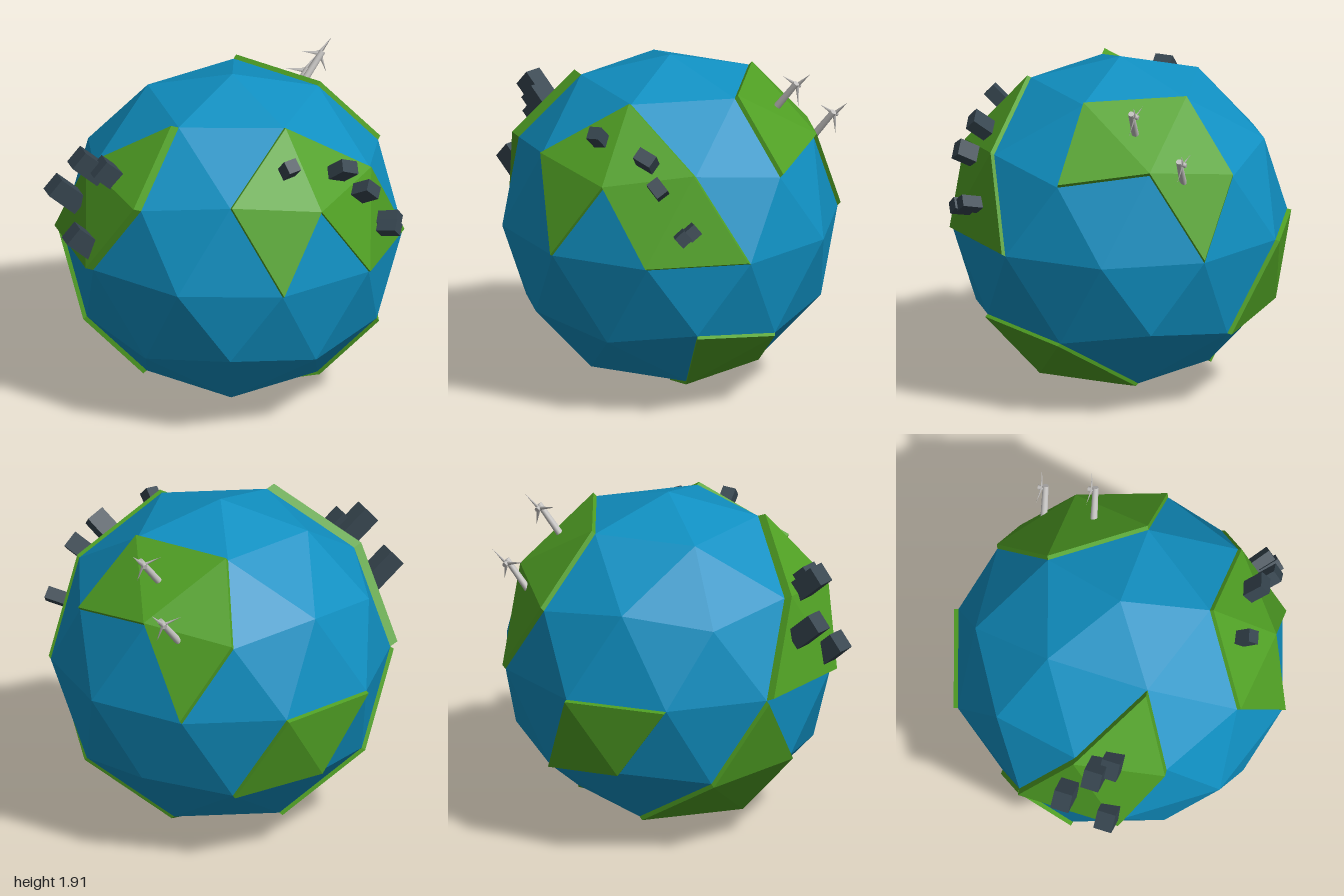
import * as THREE from 'three';
import { ConvexGeometry } from 'three/addons/geometries/ConvexGeometry.js';

const CENTRE = new THREE.Vector3(0.085, 0.97, 0);
const R = 0.95;

// Rings of the once-subdivided icosahedron: [height, radius] on a unit sphere
const RINGS = {
  T: [0.8507, 0.5257], U: [0.4472, 0.8944], M: [0.5257, 0.8507], E: [0, 1],
  N: [-0.5257, 0.8507], L: [-0.4472, 0.8944], B: [-0.8507, 0.5257],
  P: [1, 0], S: [-1, 0],
};

// Globe corner from a code such as 'U72': ring letter plus angle in degrees
function corner(code) {
  const [h, r] = RINGS[code[0]];
  const a = THREE.MathUtils.degToRad(Number(code.slice(1)));
  return new THREE.Vector3(r * Math.cos(a), h, r * Math.sin(a)).multiplyScalar(R).add(CENTRE);
}

// Raised slab over some globe triangles: shifted top faces plus rim walls
function landGeometry(triangles, shift) {
  const pos = [];
  const push = (...pts) => pts.forEach((p) => pos.push(p.x, p.y, p.z));
  const offset = new THREE.Vector3(...shift);
  const top = (c) => corner(c).add(offset);
  const edges = new Map();
  for (const tri of triangles) {
    let [a, b, c] = tri.split(' ');
    const n = corner(b).sub(corner(a)).cross(corner(c).sub(corner(a)));
    if (n.dot(corner(a).sub(CENTRE)) < 0) [b, c] = [c, b];
    push(top(a), top(b), top(c));
    for (const [p, q] of [[a, b], [b, c], [c, a]]) {
      if (edges.has(`${q} ${p}`)) edges.delete(`${q} ${p}`);
      else edges.set(`${p} ${q}`, [p, q]);
    }
  }
  for (const [p, q] of edges.values()) {
    push(corner(p), corner(q), top(q), corner(p), top(q), top(p));
  }
  const g = new THREE.BufferGeometry();
  g.setAttribute('position', new THREE.Float32BufferAttribute(pos, 3));
  g.computeVertexNormals();
  return g;
}

export function createModel() {
  const model = new THREE.Group();
  model.name = 'planet';
  const material = (name, color, flatShading = true) => {
    const m = new THREE.MeshStandardMaterial({ color, flatShading });
    m.name = name;
    return m;
  };
  const ocean = material('oceanBlue', 0x1090c2);
  const grass = material('grassGreen', 0x50a024);
  const slate = material('slateGrey', 0x36454f);
  const pale = material('paleGrey', 0xc4c2c0, false);

  const add = (parent, name, geometry, mat) => {
    const mesh = new THREE.Mesh(geometry, mat);
    mesh.name = name;
    parent.add(mesh);
    return mesh;
  };

  // Ocean globe
  const codes = ['P0', 'S0'];
  for (let i = 0; i < 5; i++) {
    const a = i * 72;
    codes.push(`T${a}`, `U${a}`, `M${a + 36}`, `N${a}`, `L${a + 36}`, `B${a + 36}`, `E${a + 18}`, `E${a + 54}`);
  }
  add(model, 'ocean', new ConvexGeometry(codes.map(corner)), ocean);

  // Land masses
  const lands = {
    frontLand: [['T72 M108 U72', 'M108 U72 E90', 'T72 U72 M36', 'U72 M36 E54', 'M36 E54 E18'], [0.003, 0.01, 0.021]],
    turbineLand: [['T0 U0 M324', 'T0 T288 M324', 'T288 M324 U288', 'M324 U288 E306'], [0.016, 0.02, -0.009]],
    towerLand: [['T144 U144 M180', 'U144 M180 E162', 'M180 E162 E198'], [-0.046, 0.02, 0.006]],
    backLand: [['E234 E270 L252', 'E270 L252 N288'], [-0.004, -0.006, -0.024]],
    lowerRightLand: [['E198 L180 N216', 'L180 N216 B180', 'N216 B180 B252'], [-0.02, -0.017, -0.003]],
    lowerLeftLand: [['L36 N0 B36', 'N0 B36 B324', 'B36 B324 S0'], [0.01, -0.014, 0.011]],
  };
  for (const [name, [tris, shift]] of Object.entries(lands)) {
    add(model, name, landGeometry(tris, shift), grass);
  }

  // Tall blocks leaning off the side land: outer end (x, y, z) and length
  const lean = new THREE.Vector3(-0.75, 0.66, 0);
  for (const [x, y, z, len] of [
    [-0.87, 1.604, 0.145, 0.19], [-0.767, 1.565, 0.215, 0.13],
    [-0.963, 1.385, 0, 0.2], [-0.933, 1.19, 0.243, 0.18],
  ]) {
    const block = add(model, 'tallBlock', new THREE.BoxGeometry(0.115, len, 0.105), slate);
    block.rotation.z = Math.atan2(0.75, 0.66);
    block.position.set(x, y, z).addScaledVector(lean, -len / 2);
  }

  // Small houses standing upright on the front land
  const up = new THREE.Vector3(0, 1, 0);
  for (const [x, y, z, w, h, d, turn] of [
    [0.2, 1.63, 0.7, 0.075, 0.12, 0.075, 0.3],
    [0.527, 1.56, 0.655, 0.11, 0.13, 0.075, 0.1],
    [0.65, 1.43, 0.69, 0.1, 0.12, 0.075, -0.2],
    [0.815, 1.19, 0.59, 0.07, 0.13, 0.075, 0],
    [0.8, 1.165, 0.645, 0.07, 0.12, 0.07, 0],
  ]) {
    const house = add(model, 'house', new THREE.BoxGeometry(w, h, d), slate);
    house.position.set(x, y, z);
    house.quaternion.setFromUnitVectors(up, house.position.clone().sub(CENTRE).normalize());
    house.rotateY(turn);
  }

  // Wind turbines: leaning tower, hub and three blades facing the back
  const stem = new THREE.Vector3(0.12, 0.155, -0.03);
  const facing = new THREE.Vector3(-0.08, -0.24, -1).normalize();
  for (const base of [[0.6, 1.655, -0.325], [0.605, 1.415, -0.62]]) {
    const turbine = new THREE.Group();
    turbine.name = 'windTurbine';
    turbine.position.set(...base);
    const tower = add(turbine, 'tower', new THREE.CylinderGeometry(0.017, 0.021, 0.24, 12), pale);
    tower.quaternion.setFromUnitVectors(up, stem.clone().normalize());
    tower.position.copy(stem).multiplyScalar(0.4);
    const rotor = new THREE.Group();
    rotor.name = 'rotor';
    rotor.position.copy(stem).multiplyScalar(0.92).addScaledVector(facing, 0.022);
    rotor.quaternion.setFromUnitVectors(new THREE.Vector3(0, 0, -1), facing);
    const hub = add(rotor, 'hub', new THREE.CylinderGeometry(0.012, 0.014, 0.04, 10), pale);
    hub.rotation.x = Math.PI / 2;
    for (let i = 0; i < 3; i++) {
      const blade = new THREE.ConeGeometry(0.013, 0.115, 4);
      blade.scale(1, 1, 0.45).translate(0, 0.0575, 0);
      add(rotor, 'blade', blade, pale).rotation.z = -0.78 + (i * Math.PI * 2) / 3;
    }
    turbine.add(rotor);
    model.add(turbine);
  }
  return model;
}
